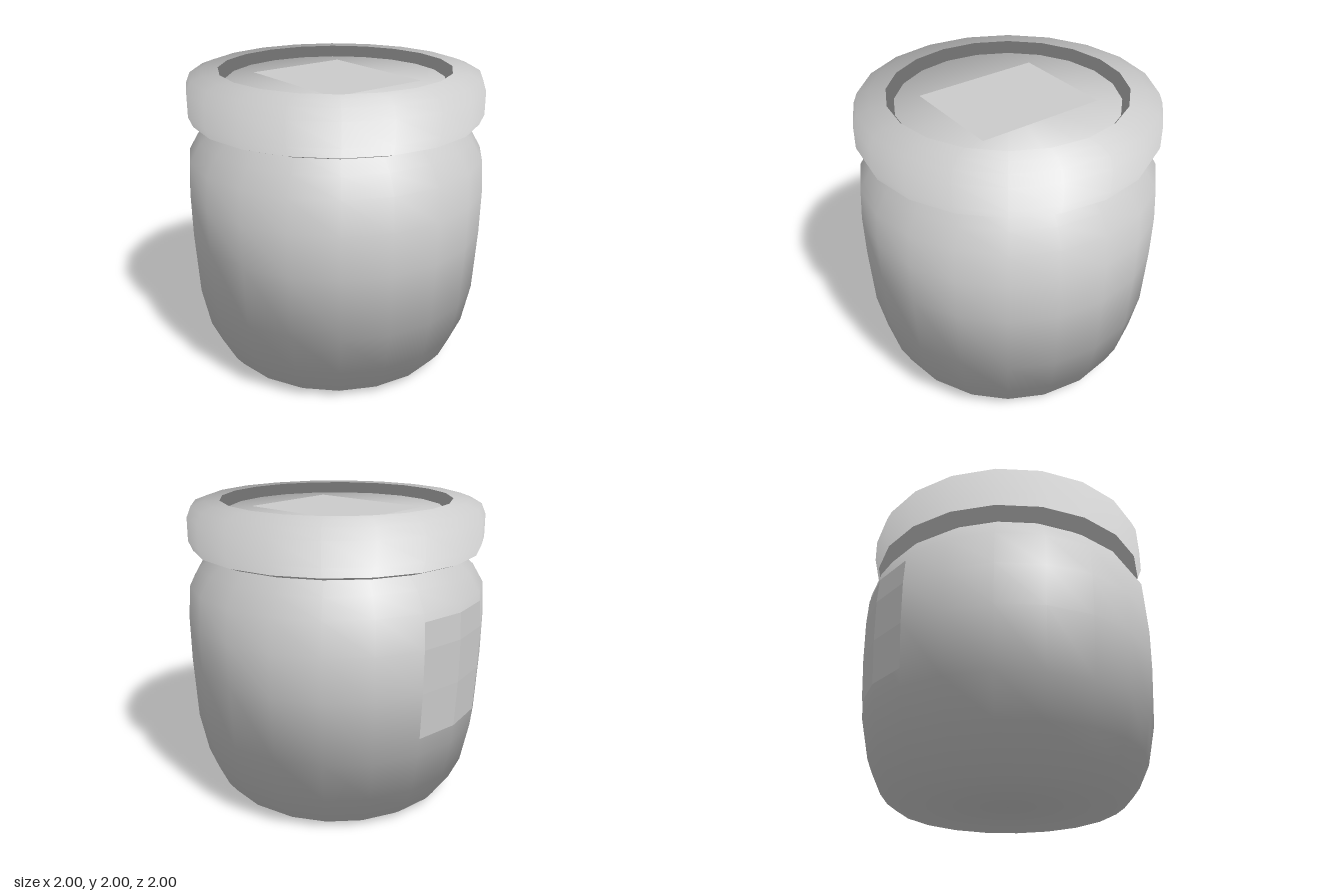
import * as THREE from 'three';

const SIDES = 20;
const CENTRE = new THREE.Vector3(0, 1, 0);

// Turn a profile (listed bottom to top) into a solid
function turned(profile, start = 0, sweep = Math.PI * 2, sides = SIDES) {
  const points = profile.map(([r, y]) => new THREE.Vector2(r, y));
  return new THREE.LatheGeometry(points, sides, start, sweep);
}

// Soft, rounded shading: every normal points away from the jar's centre
function softenNormals(geometry) {
  const { position, normal } = geometry.attributes;
  const n = new THREE.Vector3();
  for (let i = 0; i < position.count; i++) {
    n.fromBufferAttribute(position, i).sub(CENTRE).normalize();
    normal.setXYZ(i, n.x, n.y, n.z);
  }
  return geometry;
}

export function createModel() {
  const model = new THREE.Group();
  model.name = 'jar';
  const grey = new THREE.MeshStandardMaterial({ color: 0xcccccc });
  grey.name = 'light grey';

  const add = (name, geometry) => {
    const mesh = new THREE.Mesh(geometry, grey);
    mesh.name = name;
    model.add(mesh);
    return mesh;
  };

  // Rounded body with a flat base, narrowing to the neck
  add('body', softenNormals(turned([
    [0, 0], [0.74, 0], [0.8, 0.045], [0.85, 0.11], [0.92, 0.26], [0.975, 0.53],
    [0.997, 0.95], [1, 1.23], [0.985, 1.45], [0.915, 1.57], [0.815, 1.655], [0.78, 1.68],
  ])));

  // Lid with bevelled edges, a raised rim and a sunken top
  add('lid', softenNormals(turned([
    [0, 1.655], [0.87, 1.655], [0.95, 1.685], [0.978, 1.75], [0.978, 1.9],
    [0.95, 1.97], [0.87, 2], [0.765, 2], [0.72, 1.93], [0, 1.93],
  ])));

  // Flat label lying in the sunken top
  const topLabel = add('topLabel', new THREE.PlaneGeometry(0.71, 0.87));
  topLabel.rotation.x = -Math.PI / 2;
  topLabel.position.y = 1.936;

  // Label wrapped over two facets at the back
  const step = (Math.PI * 2) / SIDES;
  const wrap = turned(
    [[0.986, 0.65], [1.001, 0.95], [1.004, 1.23], [0.994, 1.4]],
    Math.PI - step, step * 2, 2,
  ).toNonIndexed();
  wrap.computeVertexNormals();
  add('backLabel', wrap);

  return model;
}
